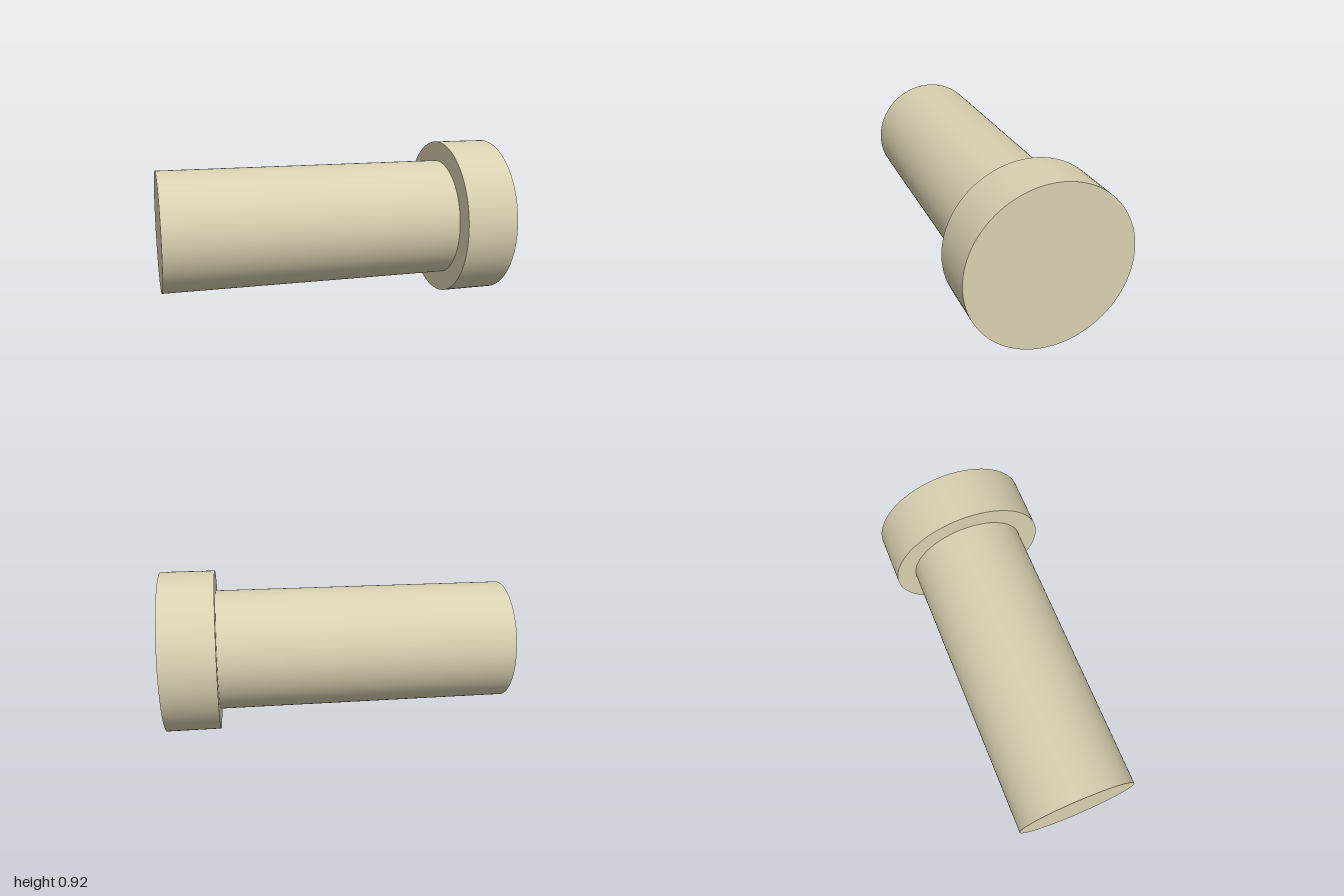
import * as THREE from 'three';

const HEAD_RADIUS = 0.4615;
const SHAFT_RADIUS = 0.346;
const HEAD_START = 0.692; // x where the shaft meets the head

export function createModel() {
  const group = new THREE.Group();
  group.name = 'headedPin';
  const material = new THREE.MeshStandardMaterial({ color: 0xd8d0b0 });

  // Solid round bar lying along x, from x0 to x1
  const addBar = (name, radius, x0, x1) => {
    const geometry = new THREE.CylinderGeometry(radius, radius, x1 - x0, 96);
    geometry.rotateZ(-Math.PI / 2);
    const mesh = new THREE.Mesh(geometry, material);
    mesh.name = name;
    mesh.position.set((x0 + x1) / 2, HEAD_RADIUS, 0);
    group.add(mesh);
  };

  addBar('shaft', SHAFT_RADIUS, -1, HEAD_START);
  addBar('head', HEAD_RADIUS, HEAD_START, 1);

  return group;
}
